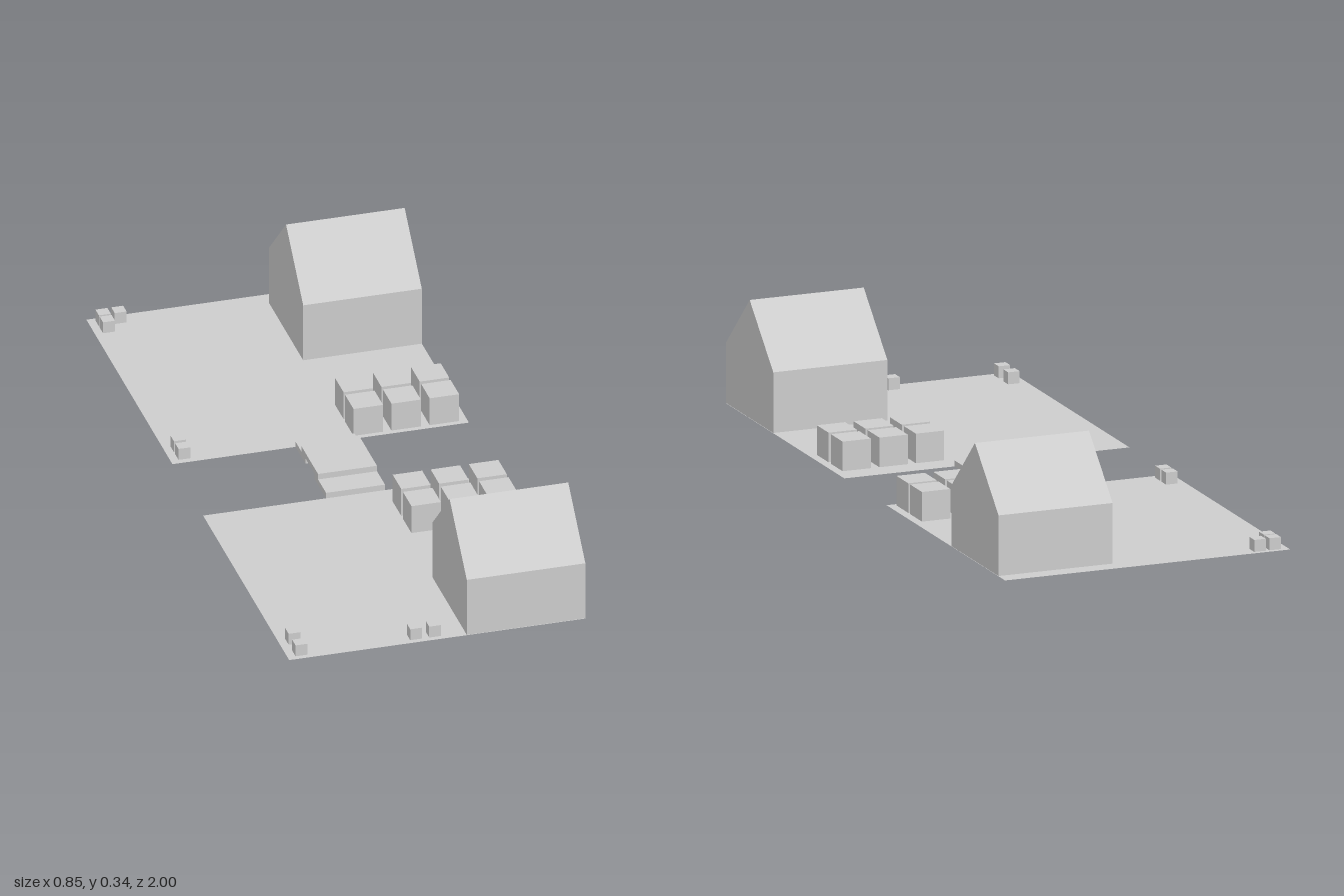
import * as THREE from 'three';

export function createModel() {
  const model = new THREE.Group();
  const grey = new THREE.MeshStandardMaterial({ color: 0xcccccc });
  grey.name = 'plain grey';
  const groundGrey = grey.clone();
  groundGrey.name = 'ground grey';
  groundGrey.side = THREE.DoubleSide;

  function add(name, geometry, x, y, z, material = grey) {
    const mesh = new THREE.Mesh(geometry, material);
    mesh.name = name;
    mesh.position.set(x, y, z);
    model.add(mesh);
  }

  // Two flat plots of land, one on each side of the bridge
  const plot = new THREE.PlaneGeometry(0.845, 0.849).rotateX(-Math.PI / 2);
  add('frontPlot', plot, 0, 0, 0.5755, groundGrey);
  add('backPlot', plot, 0, 0, -0.5755, groundGrey);

  // Gabled houses with the ridge running along x
  const width = 0.338, half = width / 2;
  const gable = new THREE.Shape([
    new THREE.Vector2(-half, 0),
    new THREE.Vector2(half, 0),
    new THREE.Vector2(half, 0.172),
    new THREE.Vector2(0, 0.335),
    new THREE.Vector2(-half, 0.172),
  ]);
  const house = new THREE.ExtrudeGeometry(gable, { depth: width, bevelEnabled: false });
  house.translate(0, 0, -half).rotateY(Math.PI / 2);
  add('frontHouse', house, 0.253, 0.0005, 0.83);
  add('backHouse', house, 0.253, 0.0005, -0.783);

  // Two rows of three large crates on each plot
  const crate = new THREE.BoxGeometry(0.084, 0.084, 0.084);
  for (const z of [0.262, 0.363, -0.208, -0.306]) {
    for (const x of [0.14, 0.248, 0.357]) add('crate', crate, x, 0.0425, z);
  }

  // Small corner blocks
  const block = new THREE.BoxGeometry(0.034, 0.034, 0.034);
  const spots = [
    [-0.383, 0.9], [-0.383, 0.968], [-0.056, 0.968], [-0.002, 0.968],
    [-0.383, -0.186], [-0.383, -0.231],
    [-0.383, -0.971], [-0.338, -0.971], [-0.383, -0.93],
  ];
  for (const [x, z] of spots) add('cornerBlock', block, x, 0.0175, z);

  // Bridge: raised deck resting on a low step at each end
  const slab = (name, z0, z1, y) =>
    add(name, new THREE.BoxGeometry(0.168, 0.017, z1 - z0), 0.012, y, (z0 + z1) / 2);
  slab('frontStep', 0.038, 0.151, 0.0085);
  slab('backStep', -0.151, -0.053, 0.0085);
  slab('bridgeDeck', -0.092, 0.072, 0.0255);

  return model;
}
